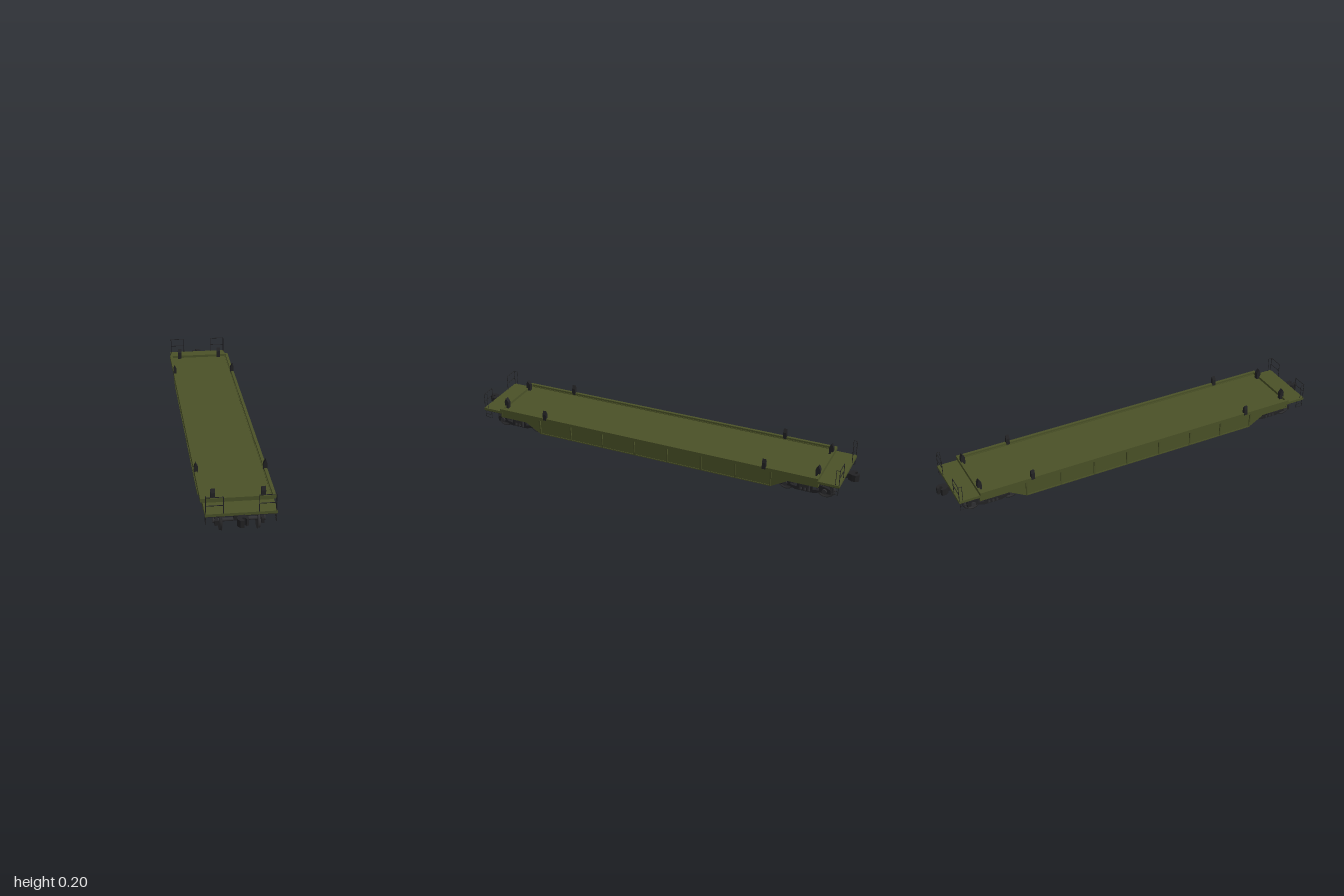
import * as THREE from 'three';

const olive = new THREE.MeshStandardMaterial({ color: 0x4b5228, flatShading: true, side: THREE.DoubleSide });
const dark = new THREE.MeshStandardMaterial({ color: 0x222224, flatShading: true, side: THREE.DoubleSide });
const steel = new THREE.MeshStandardMaterial({ color: 0x303032 });

function add(parent, name, geo, mat, x = 0, y = 0, z = 0) {
  const m = new THREE.Mesh(geo, mat);
  m.name = name;
  m.position.set(x, y, z);
  parent.add(m);
  return m;
}

// Box given by its limits on each axis
function box(parent, name, mat, [x0, x1], [y0, y1], [z0, z1]) {
  return add(parent, name, new THREE.BoxGeometry(x1 - x0, y1 - y0, z1 - z0), mat,
    (x0 + x1) / 2, (y0 + y1) / 2, (z0 + z1) / 2);
}

function outline(points) {
  return new THREE.Shape(points.map(([a, b]) => new THREE.Vector2(a, b)));
}

// Outline in (z, y), extruded across x from x0 to x1
function sidePlate(parent, name, mat, points, x0, x1) {
  const geo = new THREE.ExtrudeGeometry(outline(points.map(([z, y]) => [-z, y])), { depth: x1 - x0, bevelEnabled: false });
  geo.rotateY(Math.PI / 2);
  return add(parent, name, geo, mat, x0);
}

// Outline in (x, y), extruded along z around z
function crossPlate(parent, name, mat, points, z, depth) {
  const geo = new THREE.ExtrudeGeometry(outline(points), { depth, bevelEnabled: false });
  return add(parent, name, geo, mat, 0, 0, z - depth / 2);
}

// Thin round bar through the given points
function bar(parent, name, points, radius = 0.0017) {
  for (let i = 1; i < points.length; i++) {
    const a = new THREE.Vector3(...points[i - 1]), b = new THREE.Vector3(...points[i]);
    const m = add(parent, name, new THREE.CylinderGeometry(radius, radius, a.distanceTo(b) + radius, 6), dark);
    m.position.copy(a).add(b).multiplyScalar(0.5);
    m.quaternion.setFromUnitVectors(new THREE.Vector3(0, 1, 0), b.sub(a).normalize());
  }
}

function buildBody() {
  const body = new THREE.Group();
  body.name = 'body';
  box(body, 'underframe', dark, [-0.148, 0.148], [0.04, 0.115], [-0.62, 0.62]);
  box(body, 'deck', olive, [-0.152, 0.152], [0.115, 0.127], [-0.845, 0.845]);
  for (const s of [-1, 1]) {
    box(body, 'endUnderside', dark, [-0.148, 0.148], [0.105, 0.1152], s > 0 ? [0.62, 0.84] : [-0.84, -0.62]);
    box(body, 'endRim', olive, [-0.152, 0.152], [0.12, 0.14], s > 0 ? [0.833, 0.845] : [-0.845, -0.833]);
    // Side web, cut up over the trucks
    const web = [[-0.62, 0.04], [0.62, 0.04], [0.7, 0.087], [0.845, 0.087], [0.845, 0.13], [-0.845, 0.13], [-0.845, 0.087], [-0.7, 0.087]];
    const x0 = s > 0 ? 0.147 : -0.152;
    sidePlate(body, 'sideWeb', olive, web, x0, x0 + 0.005);
    box(body, 'topRail', olive, s > 0 ? [0.15, 0.164] : [-0.164, -0.15], [0.123, 0.14], [-0.845, 0.845]);
    box(body, 'bottomFlange', olive, s > 0 ? [0.148, 0.155] : [-0.155, -0.148], [0.04, 0.045], [-0.62, 0.62]);
    // Tapered ribs
    for (let i = 0; i < 8; i++) {
      crossPlate(body, 'sideRib', olive,
        [[s * 0.15, 0.04], [s * 0.155, 0.04], [s * 0.163, 0.125], [s * 0.15, 0.125]], -0.616 + i * 0.176, 0.007);
    }
    // Pointed container guides standing on the side rails
    for (const z of [-0.583, 0.583]) {
      crossPlate(body, 'sideGuide', dark,
        [[s * 0.148, 0.13], [s * 0.165, 0.13], [s * 0.165, 0.163], [s * 0.158, 0.182], [s * 0.148, 0.163]], z, 0.018);
    }
  }
  return body;
}

// One wheel, its axis along x and its flange towards the centre
function wheel(parent, s, z) {
  const profile = [[0, -0.004], [0.014, -0.005], [0.016, -0.002], [0.034, -0.002], [0.036, -0.006], [0.043, -0.006],
    [0.0435, 0.003], [0.047, 0.0035], [0.047, 0.006], [0.036, 0.006], [0.034, 0.002], [0.015, 0.002], [0, 0.004]];
  const geo = new THREE.LatheGeometry(profile.map(([r, h]) => new THREE.Vector2(r, h)), 28);
  geo.rotateZ(s * Math.PI / 2);
  add(parent, 'wheel', geo, steel, s * 0.082, 0.047, z);
}

function buildTruck() {
  const truck = new THREE.Group();
  truck.name = 'truck';
  const frame = [[-0.125, 0.035], [-0.075, 0.035], [-0.045, 0.024], [0.045, 0.024], [0.075, 0.035], [0.125, 0.035],
    [0.125, 0.058], [0.105, 0.066], [0.05, 0.08], [-0.05, 0.08], [-0.105, 0.066], [-0.125, 0.058]];
  const hole = (a) => outline([[a * 0.038, 0.04], [a * 0.07, 0.045], [a * 0.07, 0.058], [a * 0.038, 0.068]]);
  for (const s of [-1, 1]) {
    const shape = outline(frame);
    shape.holes.push(hole(1), hole(-1));
    const geo = new THREE.ExtrudeGeometry(shape, { depth: 0.014, bevelEnabled: false }).rotateY(Math.PI / 2);
    add(truck, 'sideFrame', geo, dark, s * 0.1 - 0.007);
    for (const z of [-0.02, 0, 0.02]) {
      add(truck, 'spring', new THREE.CylinderGeometry(0.008, 0.008, 0.034, 10), steel, s * 0.105, 0.047, z);
    }
    for (const z of [-0.096, 0.096]) {
      wheel(truck, s, z);
      const cap = add(truck, 'bearingCap', new THREE.CylinderGeometry(0.012, 0.012, 0.02, 12), steel, s * 0.104, 0.047, z);
      cap.rotation.z = Math.PI / 2;
    }
  }
  for (const z of [-0.096, 0.096]) {
    const axle = add(truck, 'axle', new THREE.CylinderGeometry(0.008, 0.008, 0.2, 12), steel, 0, 0.047, z);
    axle.rotation.z = Math.PI / 2;
    box(truck, 'brakeBeam', dark, [-0.075, 0.075], [0.04, 0.048], z > 0 ? [0.038, 0.046] : [-0.046, -0.038]);
  }
  crossPlate(truck, 'bolster', dark,
    [[-0.12, 0.052], [-0.05, 0.04], [0.05, 0.04], [0.12, 0.052], [0.115, 0.076], [-0.115, 0.076]], 0, 0.045);
  add(truck, 'centrePivot', new THREE.CylinderGeometry(0.028, 0.028, 0.036, 16), dark, 0, 0.09, 0);
  return truck;
}

// Hooked knuckle coupler, outlined from above
function buildCoupler() {
  const coupler = new THREE.Group();
  coupler.name = 'coupler';
  box(coupler, 'drawbar', dark, [-0.011, 0.011], [0.085, 0.107], [0.86, 0.965]);
  const head = [[-0.012, 0.95], [0.013, 0.95], [0.026, 0.965], [0.026, 0.982], [0.016, 0.988], [0.012, 0.976],
    [0, 0.974], [-0.004, 0.984], [0.007, 0.99], [0.005, 1], [-0.012, 1], [-0.023, 0.985], [-0.022, 0.968]];
  const geo = new THREE.ExtrudeGeometry(outline(head.map(([x, z]) => [x, -z])), { depth: 0.034, bevelEnabled: false });
  geo.rotateX(-Math.PI / 2);
  add(coupler, 'couplerHead', geo, dark, 0, 0.079, 0);
  return coupler;
}

// One end of the wagon, built facing +z
function buildEnd() {
  const end = new THREE.Group();
  end.name = 'wagonEnd';
  box(end, 'endPlatform', olive, [-0.154, 0.154], [0.108, 0.121], [0.84, 0.945]);
  box(end, 'platformUnderside', dark, [-0.15, 0.15], [0.104, 0.108], [0.84, 0.942]);
  box(end, 'centreSill', dark, [-0.03, 0.03], [0.078, 0.106], [0.62, 0.935]);
  box(end, 'bodyBolster', dark, [-0.147, 0.147], [0.09, 0.106], [0.75, 0.79]);
  for (const s of [-1, 1]) {
    box(end, 'cornerSkirt', olive, s > 0 ? [0.107, 0.153] : [-0.153, -0.107], [0.087, 0.108], [0.838, 0.845]);
    // Handrail with a short return along the side
    const inner = s * 0.076, outer = s * 0.15, z = 0.942;
    bar(end, 'handrail', [[inner, 0.12, z], [inner, 0.198, z], [outer, 0.198, z], [outer, 0.12, z]]);
    bar(end, 'handrailMiddle', [[inner, 0.159, z], [outer, 0.159, z]]);
    bar(end, 'handrailReturn', [[outer, 0.198, z], [outer, 0.198, 0.925], [outer, 0.12, 0.925]], 0.0013);
    // Step stirrup below the corner
    bar(end, 'step', [[outer, 0.11, 0.94], [outer, 0.07, 0.94], [outer, 0.07, 0.905], [outer, 0.11, 0.905]]);
    bar(end, 'stepRung', [[outer, 0.088, 0.94], [outer, 0.088, 0.905]]);
    // Pointed guide at the end of the deck
    sidePlate(end, 'endGuide', dark,
      [[0.82, 0.125], [0.841, 0.125], [0.841, 0.163], [0.833, 0.181], [0.82, 0.163]], s * 0.11 - 0.01, s * 0.11 + 0.01);
  }
  const truck = buildTruck();
  truck.position.z = 0.77;
  end.add(truck, buildCoupler());
  return end;
}

export function createModel() {
  const model = new THREE.Group();
  model.name = 'flatWagon';
  const front = buildEnd(), back = buildEnd();
  back.rotation.y = Math.PI;
  model.add(buildBody(), front, back);
  return model;
}
